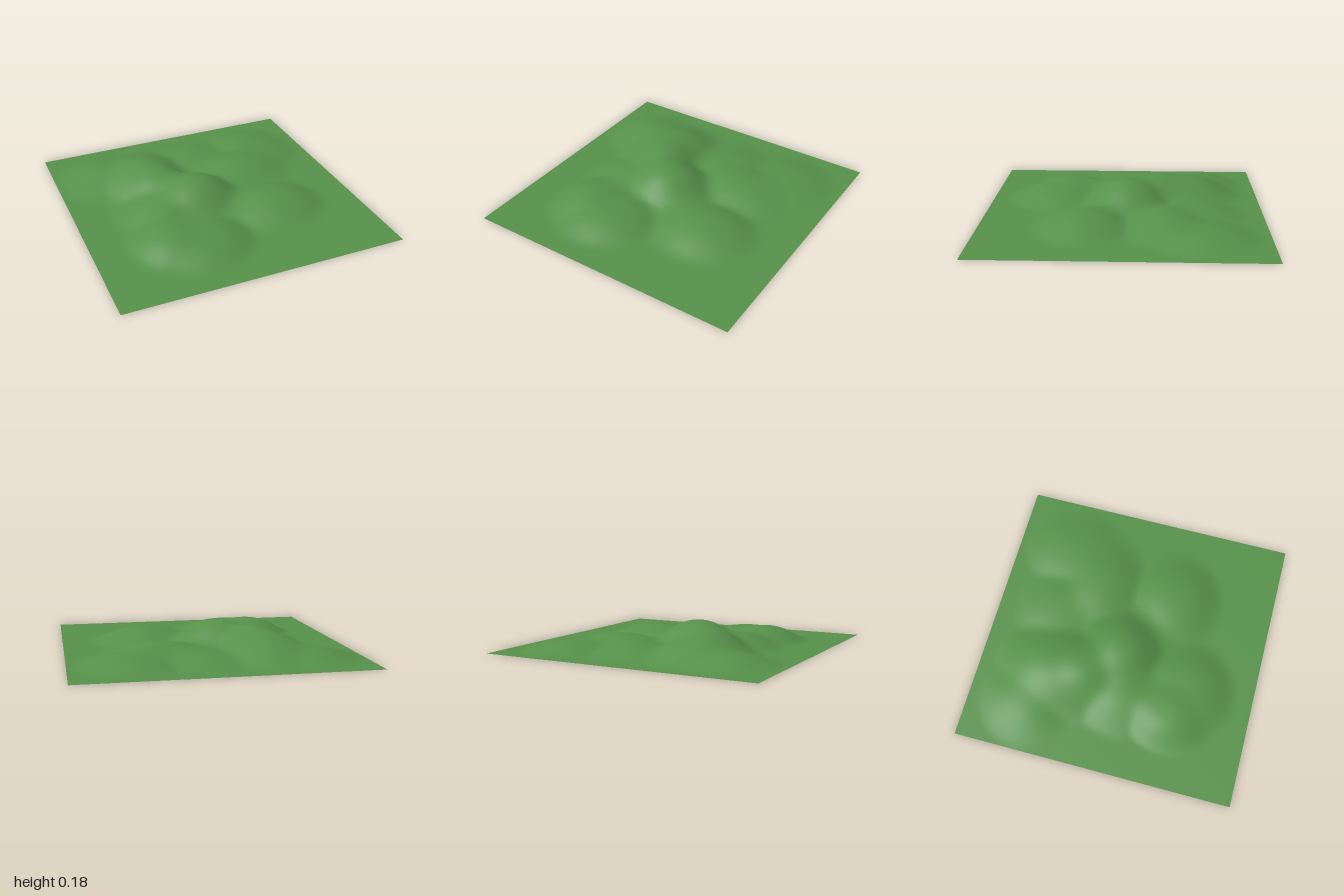
import * as THREE from 'three';

// Hills: centre x, z, radii along x and z, height, edge sharpness
const hills = [
  { x: -0.12, z: -0.02, rx: 0.42, rz: 0.4, h: 0.185, k: 2.2 },   // main summit
  { x: -0.31, z: -0.23, rx: 0.36, rz: 0.36, h: 0.162, k: 2.2 },  // summit plateau
  { x: -0.36, z: -0.42, rx: 0.42, rz: 0.5, h: 0.148, k: 2.2 },   // back ridge
  { x: -0.4, z: 0.05, rx: 0.36, rz: 0.42, h: 0.1, k: 2 },        // west flank
  { x: -0.61, z: -0.57, rx: 0.4, rz: 0.38, h: 0.078, k: 2 },     // back west hill
  { x: -0.48, z: 0.42, rx: 0.29, rz: 0.36, h: 0.1, k: 2.6 },     // front hill, west crest
  { x: -0.28, z: 0.49, rx: 0.41, rz: 0.39, h: 0.088, k: 3 },     // front hill
  { x: -0.38, z: 0.23, rx: 0.34, rz: 0.32, h: 0.07, k: 2 },      // spine to the front hill
  { x: 0.38, z: 0.27, rx: 0.42, rz: 0.37, h: 0.095, k: 2.6 },    // east hill
  { x: 0.1, z: 0.14, rx: 0.36, rz: 0.34, h: 0.06, k: 2 },        // saddle to the east hill
  { x: 0.36, z: -0.3, rx: 0.46, rz: 0.36, h: 0.09, k: 2.4 },     // back east hill
  { x: 0.58, z: -0.54, rx: 0.39, rz: 0.42, h: 0.06, k: 2.6 },    // back east shoulder
  { x: 0.1, z: -0.5, rx: 0.42, rz: 0.4, h: 0.06, k: 2.4 },       // saddle between ridges
];

// Smooth union of all hills, exactly zero on the surrounding flat ground
function heightAt(x, z) {
  const power = 4;
  let sum = 0;
  for (const b of hills) {
    const d = Math.hypot((x - b.x) / b.rx, (z - b.z) / b.rz);
    if (d < 1) sum += (b.h * (1 - d ** b.k) ** 2) ** power;
  }
  return sum ** (1 / power);
}

export function createModel() {
  const group = new THREE.Group();
  group.name = 'hillyGround';

  const grass = new THREE.MeshStandardMaterial({ color: 0x56904a, side: THREE.DoubleSide });
  grass.name = 'grass green';

  // Square sheet of ground raised by the hills
  const geometry = new THREE.PlaneGeometry(2, 2, 64, 64).rotateX(-Math.PI / 2);
  const p = geometry.attributes.position;
  for (let i = 0; i < p.count; i++) p.setY(i, heightAt(p.getX(i), p.getZ(i)));
  geometry.computeVertexNormals();

  const terrain = new THREE.Mesh(geometry, grass);
  terrain.name = 'terrain';
  group.add(terrain);
  return group;
}
